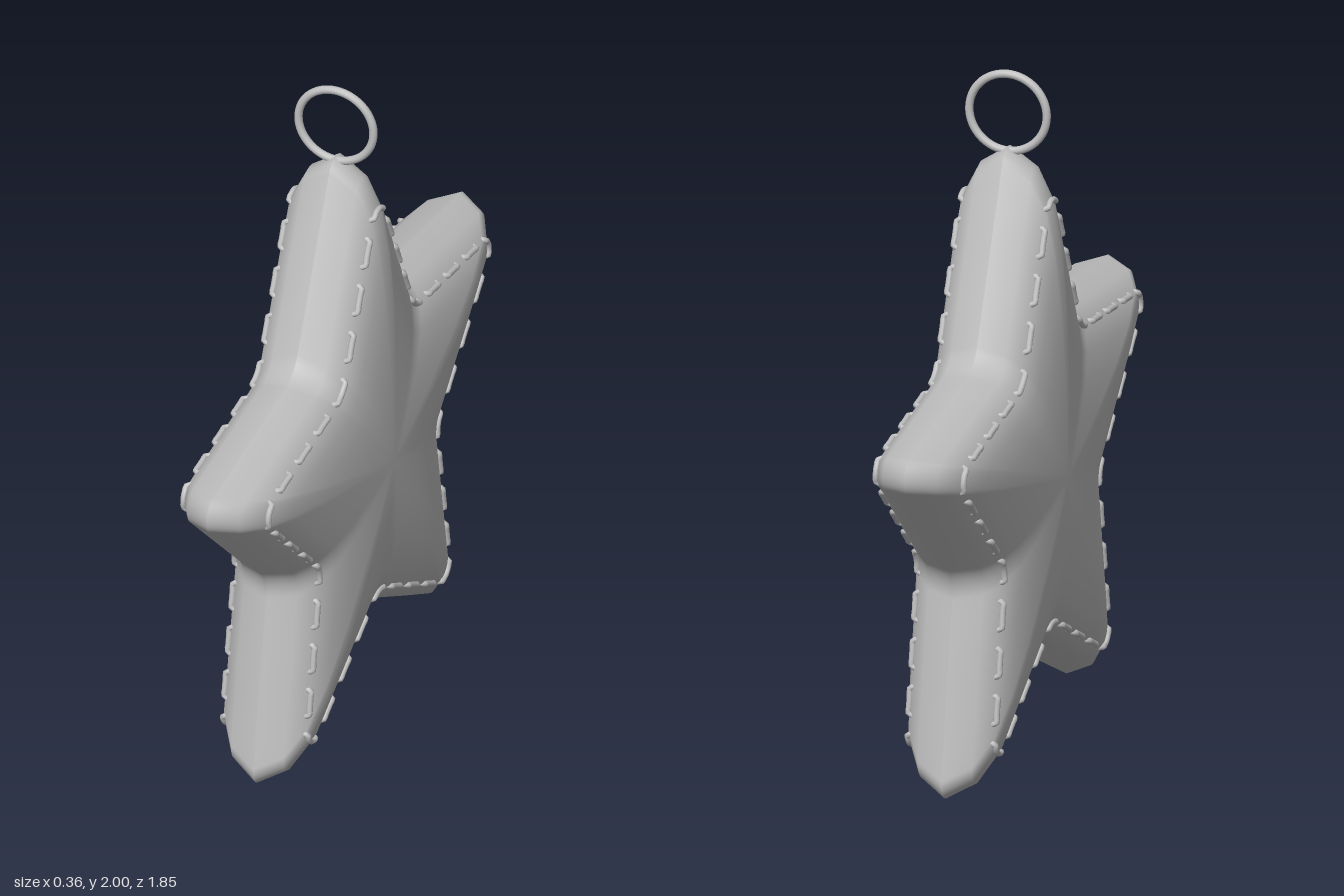
import * as THREE from 'three';
import { mergeVertices } from 'three/addons/utils/BufferGeometryUtils.js';

const CENTRE_Y = 0.8;
const TIP = { r: 1.045, fillet: 0.055 };
const VALLEY = { r: 0.51, fillet: 0.11 };

// Rounded five-pointed star; each point is (y, z) about the star's centre
function starOutline() {
  const step = Math.PI / 5;
  const halfTip = Math.atan2(VALLEY.r * Math.sin(step), TIP.r - VALLEY.r * Math.cos(step));
  const halfValley = halfTip + step;
  const pts = [];
  for (let k = 0; k < 10; k++) {
    const isTip = k % 2 === 0;
    const { r, fillet } = isTip ? TIP : VALLEY;
    const half = isTip ? halfTip : halfValley;
    const sign = isTip ? 1 : -1;
    const phi = k * step;
    const centre = r - (sign * fillet) / Math.sin(half);
    const n = isTip ? 12 : 8;
    const arc = [];
    for (let i = 0; i <= n; i++) {
      const a = phi + (i / n * 2 - 1) * sign * (Math.PI / 2 - half);
      arc.push(new THREE.Vector2(
        centre * Math.cos(phi) + sign * fillet * Math.cos(a),
        centre * Math.sin(phi) + sign * fillet * Math.sin(a)));
    }
    // extra points along the straight edge leading to this corner
    if (pts.length) {
      const last = pts[pts.length - 1];
      for (const t of [0.1, 0.37, 0.63, 0.9]) pts.push(last.clone().lerp(arc[0], t));
    }
    pts.push(...arc);
  }
  const last = pts[pts.length - 1];
  const first = pts[0];
  for (const t of [0.1, 0.37, 0.63, 0.9]) pts.push(last.clone().lerp(first, t));
  return pts;
}

// One puffed half: the outline shrinks towards the centre as it rises along x
function puffedHalf(outline, side) {
  const rings = [[1, 0], [0.945, 0.08], [0.845, 0.128], [0.7, 0.153],
    [0.52, 0.169], [0.3, 0.177], [0.12, 0.18], [0, 0.18]];
  const n = outline.length;
  const pos = [];
  const index = [];
  rings.forEach(([s, x], j) => {
    outline.forEach((p, i) => {
      pos.push(side * x, p.x * s, p.y * s);
      if (j === rings.length - 1) return;
      const a = j * n + i;
      const b = j * n + (i + 1) % n;
      const c = b + n;
      const d = a + n;
      const tris = j === rings.length - 2 ? [[a, b, c]] : [[a, b, c], [a, c, d]];
      for (const [u, v, w] of tris) index.push(...(side > 0 ? [u, v, w] : [u, w, v]));
    });
  });
  let geo = new THREE.BufferGeometry();
  geo.setAttribute('position', new THREE.Float32BufferAttribute(pos, 3));
  geo.setIndex(index);
  geo = mergeVertices(geo, 1e-5);
  geo.computeVertexNormals();
  return geo;
}

export function createModel() {
  const model = new THREE.Group();
  model.name = 'starOrnament';
  const grey = new THREE.MeshStandardMaterial({ color: 0xbfbfbf });
  grey.name = 'light grey';

  const add = (parent, geo, name) => {
    const mesh = new THREE.Mesh(geo, grey);
    mesh.name = name;
    parent.add(mesh);
    return mesh;
  };

  // Padded star, two halves meeting at a seam
  const star = new THREE.Group();
  star.name = 'star';
  star.position.y = CENTRE_Y;
  model.add(star);
  const outline = starOutline();
  add(star, puffedHalf(outline, 1), 'leftHalf');
  add(star, puffedHalf(outline, -1), 'rightHalf');

  // Running stitches on both faces, ends dipping into the cloth
  const path = new THREE.Path().setFromPoints(
    [...outline, outline[0]].map((p) => p.clone().multiplyScalar(0.848)));
  path.arcLengthDivisions = 2000;
  const length = path.getLength();
  const startOffset = (() => {
    // arc length from the first outline point to the middle of the top tip
    let d = 0;
    for (let i = 0; i < 6; i++) d += outline[i].distanceTo(outline[i + 1]) * 0.848;
    return d / length;
  })();
  const count = 40;
  const halfSpan = 0.042 / length;
  for (const side of [1, -1]) {
    const stitches = new THREE.Group();
    stitches.name = side > 0 ? 'leftStitches' : 'rightStitches';
    star.add(stitches);
    for (let k = 0; k < count; k++) {
      const mid = startOffset + k / count;
      const pts = [-1, -0.85, -0.4, 0, 0.4, 0.85, 1].map((t) => {
        const p = path.getPointAt((mid + t * halfSpan + 1) % 1);
        const x = Math.abs(t) === 1 ? 0.115 : 0.13;
        return new THREE.Vector3(side * x, p.x, p.y);
      });
      add(stitches, new THREE.TubeGeometry(new THREE.CatmullRomCurve3(pts), 12, 0.009, 8), 'stitch');
    }
  }

  // Hanging ring through the top tip
  add(model, new THREE.TorusGeometry(0.115, 0.012, 12, 64), 'hangingRing').position.y = 1.873;

  return model;
}
